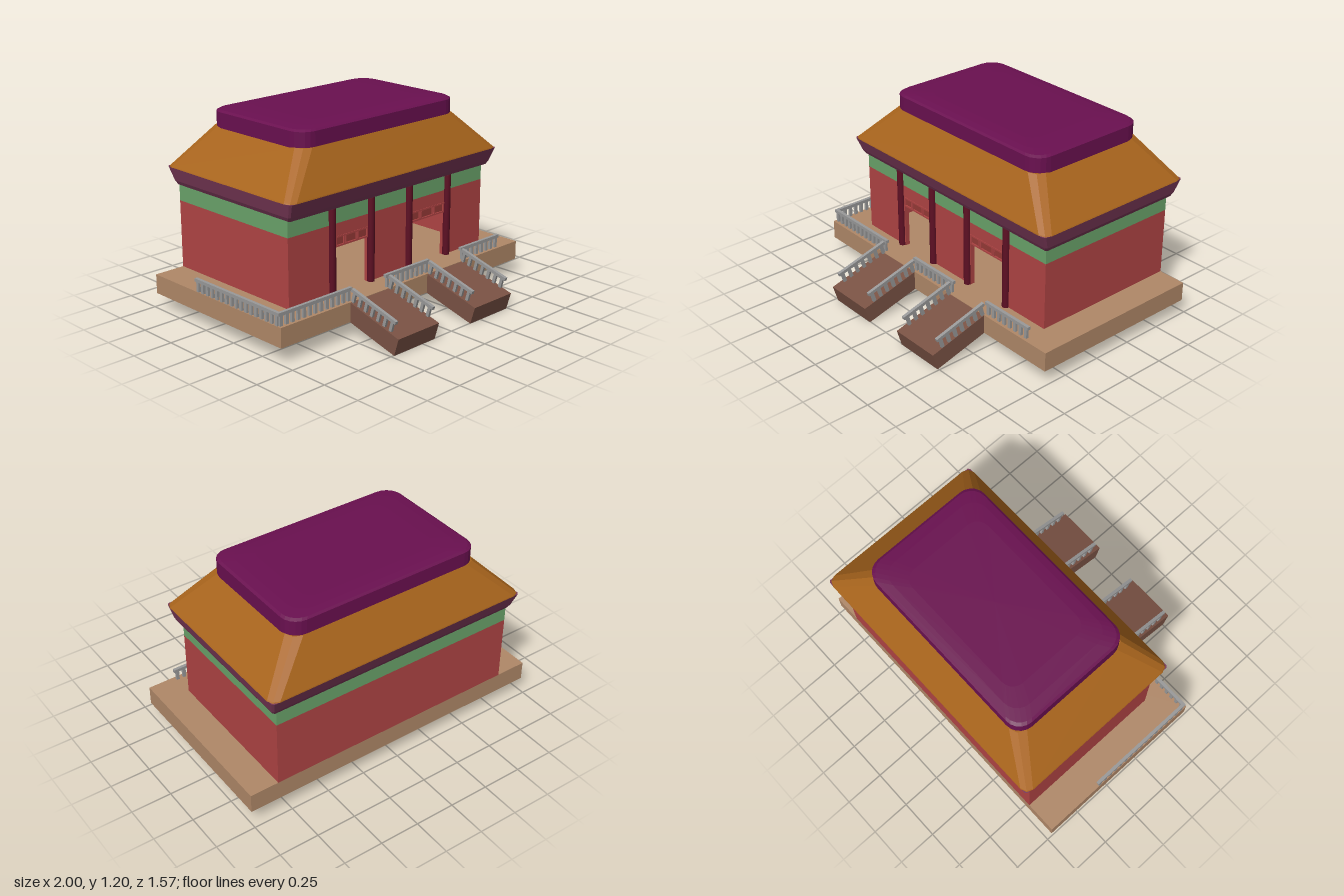
import * as THREE from 'three';

const mat = (color, flatShading = false) => new THREE.MeshStandardMaterial({ color, flatShading });
const RED = mat(0xb04444), DARK_RED = mat(0x963a36), GREEN = mat(0x6aa36a), TAN = mat(0xb08868);
const BROWN = mat(0x7a5244), GREY = mat(0x999999), COLUMN = mat(0x5e1024);
const EAVE = mat(0x7a3858, true), ROOF = mat(0xa8641c, true), CAP = mat(0x6a1050, true);
const CX = 0.02, CZ = -0.23; // centre of the roof

function add(parent, name, geometry, material) {
  const mesh = new THREE.Mesh(geometry, material);
  mesh.name = name;
  parent.add(mesh);
  return mesh;
}

// box given by its extents
function block(parent, name, material, x0, x1, y0, y1, z0, z1) {
  const mesh = add(parent, name, new THREE.BoxGeometry(x1 - x0, y1 - y0, z1 - z0), material);
  mesh.position.set((x0 + x1) / 2, (y0 + y1) / 2, (z0 + z1) / 2);
  return mesh;
}

// closed loft through rounded rectangles [y, halfX, halfZ, cornerRadius]
function loft(rings, steps) {
  const pos = [], index = [], n = 4 * (steps + 1);
  for (const [y, hx, hz, r] of rings) {
    for (let q = 0; q < 4; q++) {
      const sx = q === 0 || q === 3 ? 1 : -1, sz = q < 2 ? 1 : -1;
      for (let s = 0; s <= steps; s++) {
        const a = (q + s / steps) * Math.PI / 2;
        pos.push(sx * (hx - r) + r * Math.cos(a), y, sz * (hz - r) + r * Math.sin(a));
      }
    }
  }
  for (let k = 0; k < rings.length - 1; k++) {
    for (let i = 0; i < n; i++) {
      const j = (i + 1) % n, a = k * n + i, b = k * n + j;
      index.push(a, a + n, b, b, a + n, b + n);
    }
  }
  const last = (rings.length - 1) * n, c = rings.length * n;
  pos.push(0, rings[0][0], 0, 0, rings[rings.length - 1][0], 0);
  for (let i = 0; i < n; i++) {
    const j = (i + 1) % n;
    index.push(c, i, j, c + 1, last + j, last + i);
  }
  const g = new THREE.BufferGeometry();
  g.setAttribute('position', new THREE.Float32BufferAttribute(pos, 3));
  g.setIndex(index);
  const flat = g.toNonIndexed();
  flat.computeVertexNormals();
  return flat;
}

// railing along local +x, standing on local y = 0
function railing(parent, name, length, height, spacing) {
  const rail = new THREE.Group();
  rail.name = name;
  block(rail, 'handrail', GREY, 0, length, height - 0.02, height, -0.01, 0.01);
  const count = Math.round(length / spacing);
  for (let i = 0; i < count; i++) {
    const x = (i + 0.5) * length / count;
    block(rail, 'baluster', GREY, x - 0.01, x + 0.01, 0, height - 0.015, -0.008, 0.008);
  }
  parent.add(rail);
  return rail;
}

export function createModel() {
  const model = new THREE.Group();
  model.name = 'hall';

  block(model, 'platform', TAN, -1, 1, 0.1, 0.22, -0.72, 0.41);

  // hollow hall with two doorways in the front wall
  const doors = [[-0.44, -0.18], [0.185, 0.48]];
  const front = new THREE.Shape();
  front.moveTo(-0.8, 0.22).lineTo(doors[0][0], 0.22);
  doors.forEach(([a, b]) => front.lineTo(a, 0.22).lineTo(a, 0.56).lineTo(b, 0.56).lineTo(b, 0.22));
  front.lineTo(0.82, 0.22).lineTo(0.82, 0.64).lineTo(-0.8, 0.64).closePath();
  const wall = add(model, 'frontWall', new THREE.ExtrudeGeometry(front, { depth: 0.03, bevelEnabled: false }), RED);
  wall.position.z = 0.22;
  block(model, 'backWall', RED, -0.8, 0.82, 0.22, 0.64, -0.72, -0.69);
  block(model, 'leftWall', RED, 0.79, 0.82, 0.22, 0.64, -0.69, 0.22);
  block(model, 'rightWall', RED, -0.8, -0.77, 0.22, 0.64, -0.69, 0.22);
  block(model, 'frieze', GREEN, -0.8, 0.82, 0.64, 0.745, -0.72, 0.25);
  block(model, 'interiorBlock', mat(0xcccccc), -0.44, -0.33, 0.22, 0.33, -0.46, -0.35);

  // panelled transoms over the doorways
  for (const [a, b] of doors) {
    const transom = new THREE.Group();
    transom.name = 'transom';
    block(transom, 'panel', DARK_RED, a, b, 0.505, 0.555, 0.23, 0.242);
    block(transom, 'lowerBar', RED, a, b, 0.497, 0.507, 0.225, 0.25);
    block(transom, 'upperBar', RED, a, b, 0.553, 0.563, 0.225, 0.253);
    for (const t of [0.02, 0.26, 0.31, 0.65, 0.7, 0.98]) {
      const x = a + t * (b - a);
      block(transom, 'divider', RED, x - 0.004, x + 0.004, 0.505, 0.555, 0.225, 0.25);
    }
    model.add(transom);
  }

  // columns with domed tops
  for (const x of [-0.47, -0.16, 0.16, 0.5]) {
    const profile = [[0, 0], [0.023, 0], [0.023, 0.515], [0.019, 0.53], [0.011, 0.54], [0, 0.543]];
    const g = new THREE.LatheGeometry(profile.map(p => new THREE.Vector2(...p)), 16);
    add(model, 'column', g, COLUMN).position.set(x, 0.22, 0.252);
  }

  // eaves, sloping roof and rounded cap
  const roofPart = (name, rings, steps, material) =>
    add(model, name, loft(rings, steps), material).position.set(CX, 0, CZ);
  roofPart('eaves', [[0.74, 0.825, 0.503, 0.01], [0.765, 0.838, 0.517, 0.01], [0.85, 0.858, 0.55, 0.012]], 1, EAVE);
  roofPart('roof', [[0.85, 0.864, 0.552, 0.05], [0.856, 0.86, 0.55, 0.05], [1.09, 0.635, 0.408, 0.07]], 2, ROOF);
  roofPart('roofCap', [[1.085, 0.64, 0.406, 0.1], [1.18, 0.64, 0.406, 0.1], [1.19, 0.625, 0.393, 0.1],
    [1.197, 0.56, 0.35, 0.1], [1.202, 0.45, 0.28, 0.08]], 5, CAP);

  // sloping ramps with railings on both sides
  const side = new THREE.Shape([[0.4, 0.1], [0.755, 0.003], [0.787, 0.11], [0.41, 0.217], [0.4, 0.217]]
    .map(p => new THREE.Vector2(...p)));
  for (const [a, b] of [[-0.48, -0.15], [0.16, 0.49]]) {
    const ramp = add(model, 'ramp', new THREE.ExtrudeGeometry(side, { depth: b - a, bevelEnabled: false }), BROWN);
    ramp.rotation.y = -Math.PI / 2;
    ramp.position.x = b;
    for (const x of [a + 0.02, b - 0.01]) {
      const slope = new THREE.Group();
      slope.name = 'rampRailing';
      slope.position.set(x, 0.215, 0.385);
      slope.rotation.x = Math.atan(0.107 / 0.377);
      railing(slope, 'railing', 0.36, 0.088, 0.05).rotation.y = -Math.PI / 2;
      model.add(slope);
    }
  }

  // railings along the platform edge
  for (const [a, b] of [[-1, -0.45], [-0.18, 0.195], [0.48, 0.84]]) {
    railing(model, 'frontRailing', b - a, 0.08, 0.043).position.set(a, 0.22, 0.385);
  }
  const rightRail = railing(model, 'rightRailing', 0.73, 0.08, 0.043);
  rightRail.rotation.y = -Math.PI / 2;
  rightRail.position.set(-0.99, 0.22, -0.34);

  return model;
}
